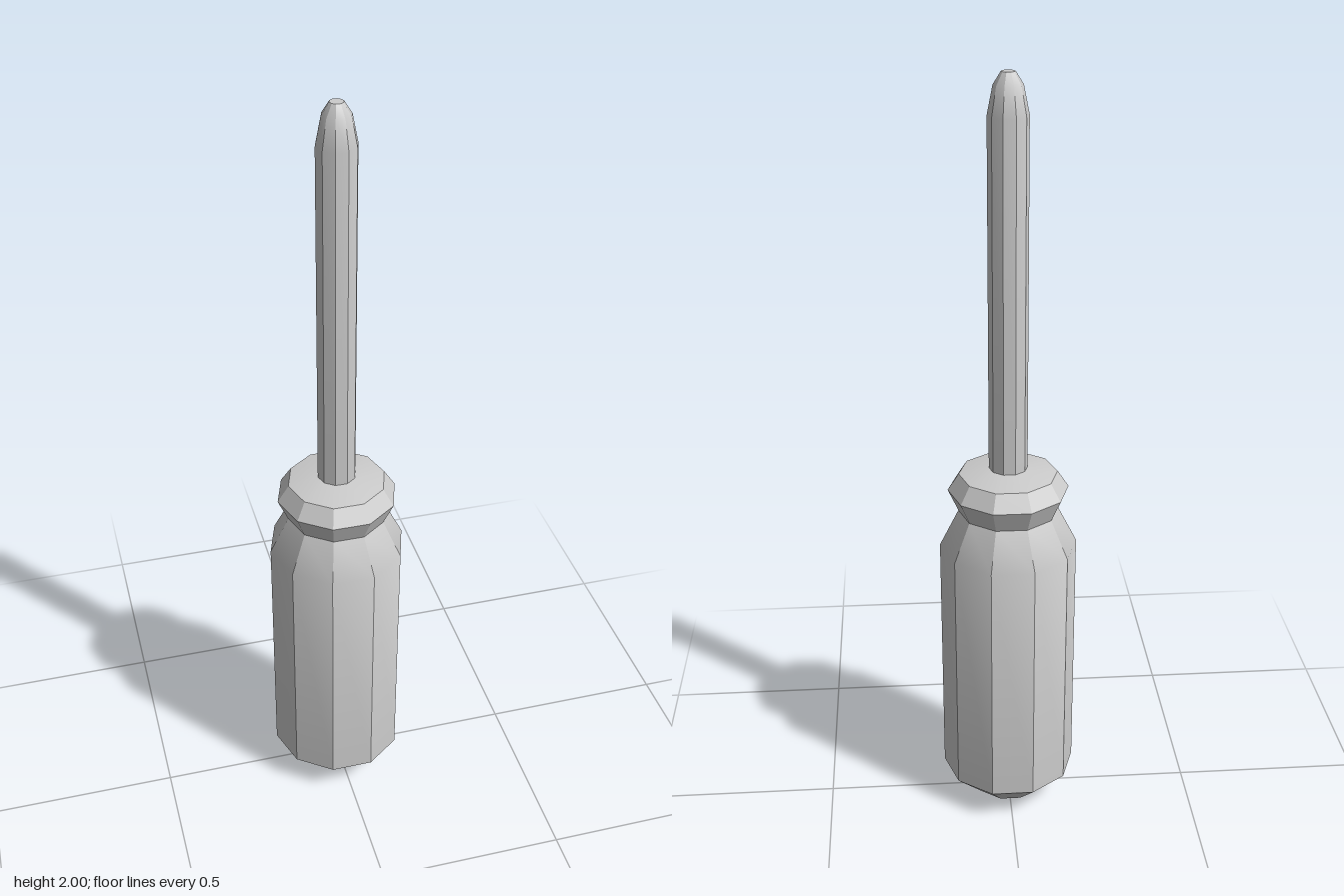
import * as THREE from 'three';
import { toCreasedNormals } from 'three/addons/utils/BufferGeometryUtils.js';

const SIDES = 10;
const material = new THREE.MeshStandardMaterial({ color: 0xcccccc });

// Ten-sided turned part with a corner on +x; the profile lists [radius, height] from bottom to top.
function turned(name, profile) {
  const scale = 100; // creasing merges close points, so work large and shrink afterwards
  const points = profile.map(([r, y]) => new THREE.Vector2(r * scale, y * scale));
  const lathe = new THREE.LatheGeometry(points, SIDES, Math.PI / 2);
  const geometry = toCreasedNormals(lathe, THREE.MathUtils.degToRad(30));
  geometry.scale(1 / scale, 1 / scale, 1 / scale);
  const mesh = new THREE.Mesh(geometry, material);
  mesh.name = name;
  return mesh;
}

export function createModel() {
  const group = new THREE.Group();
  group.name = 'screwdriver';

  // Handle: chamfered butt, straight grip, shoulder, narrow neck and flared collar
  group.add(turned('handle', [
    [0, 0], [0.09, 0.005], [0.18, 0.09], [0.18, 0.78],
    [0.13, 0.88], [0.157, 0.94], [0.128, 0.985], [0.05, 1.0], [0, 1.0],
  ]));

  // Shaft with a rounded, blunt tip
  group.add(turned('shaft', [
    [0, 0.98], [0.05, 0.98], [0.05, 1.9], [0.036, 1.97], [0.017, 2.0], [0, 2.0],
  ]));

  return group;
}
